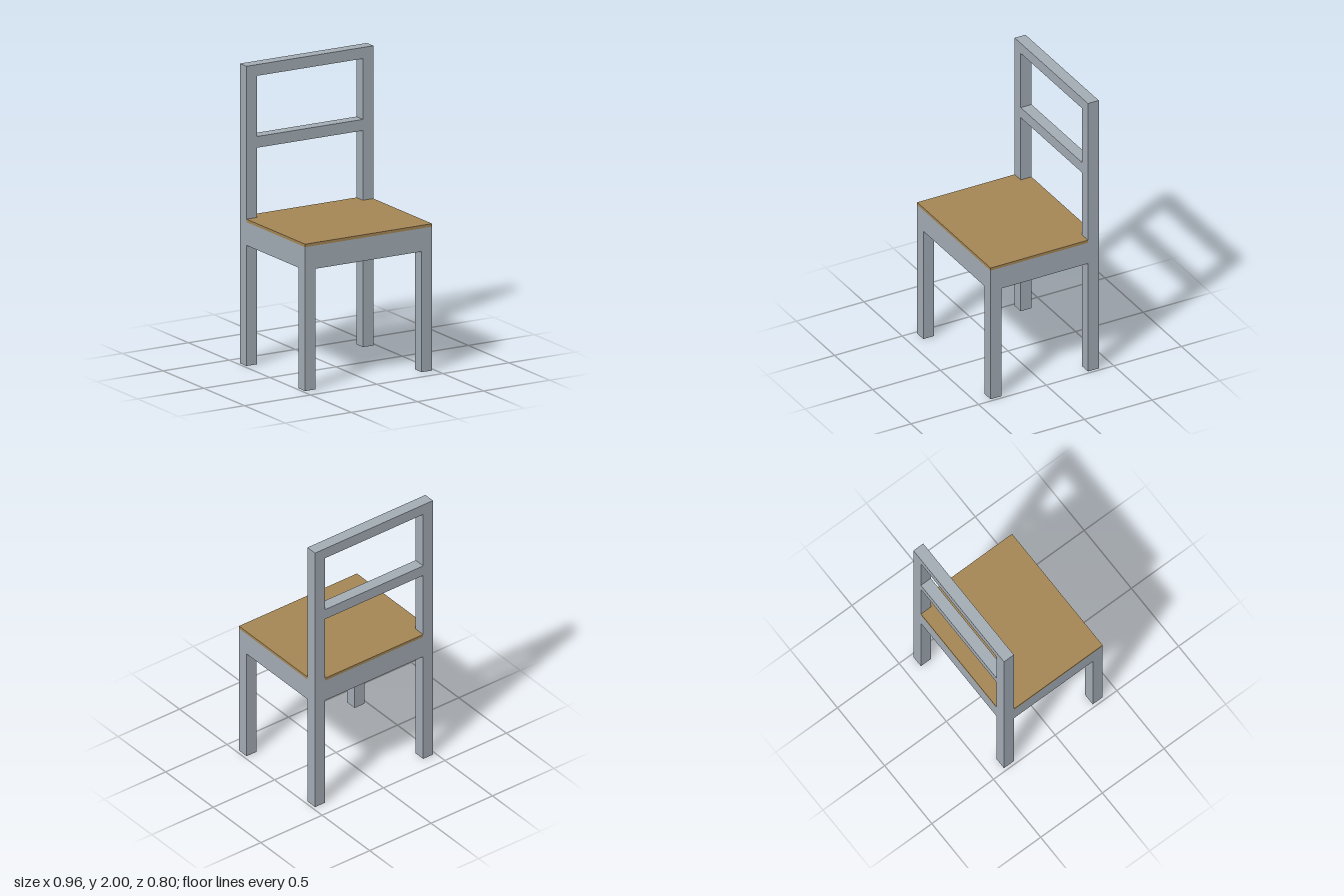
import * as THREE from 'three';

export function createModel() {
  const chair = new THREE.Group();
  chair.name = 'chair';

  const frame = new THREE.MeshStandardMaterial({ color: 0xa3acb5 });
  frame.name = 'grey frame';
  const wood = new THREE.MeshStandardMaterial({ color: 0xa58755 });
  wood.name = 'tan seat';

  const W = 0.48, D = 0.4, T = 0.08; // half width, half depth, bar thickness
  const apronBottom = 0.805, seatBottom = 0.96, seatTop = 0.98, top = 2;

  // Box given by its lower and upper corners
  function bar(name, x0, x1, y0, y1, z0, z1) {
    const mesh = new THREE.Mesh(new THREE.BoxGeometry(x1 - x0, y1 - y0, z1 - z0), frame);
    mesh.position.set((x0 + x1) / 2, (y0 + y1) / 2, (z0 + z1) / 2);
    mesh.name = name;
    chair.add(mesh);
  }

  // Legs, back posts and side aprons
  for (const [side, x0] of [['left', W - T], ['right', -W]]) {
    const x1 = x0 + T;
    bar(side + 'FrontLeg', x0, x1, 0, seatBottom, D - T, D);
    bar(side + 'BackPost', x0, x1, 0, top, -D, -D + T);
    bar(side + 'Apron', x0, x1, apronBottom, seatBottom, -D + T, D - T);
  }

  // Cross bars between the legs and between the back posts
  const inner = W - T;
  bar('frontApron', -inner, inner, apronBottom, seatBottom, D - T, D);
  bar('backApron', -inner, inner, apronBottom, seatBottom, -D, -D + T);
  bar('middleBackRail', -inner, inner, 1.445, 1.52, -D, -D + T);
  bar('topBackRail', -inner, inner, 1.925, top, -D, -D + T);

  // Seat panel, notched around the back posts (shape y becomes -z)
  const outline = new THREE.Shape([
    [-W, -D], [W, -D], [W, D - T], [inner, D - T],
    [inner, D], [-inner, D], [-inner, D - T], [-W, D - T],
  ].map(([x, y]) => new THREE.Vector2(x, y)));
  const seatGeometry = new THREE.ExtrudeGeometry(outline, {
    depth: seatTop - seatBottom, bevelEnabled: false,
  });
  seatGeometry.rotateX(-Math.PI / 2);
  const seat = new THREE.Mesh(seatGeometry, wood);
  seat.position.y = seatBottom;
  seat.name = 'seat';
  chair.add(seat);

  return chair;
}
